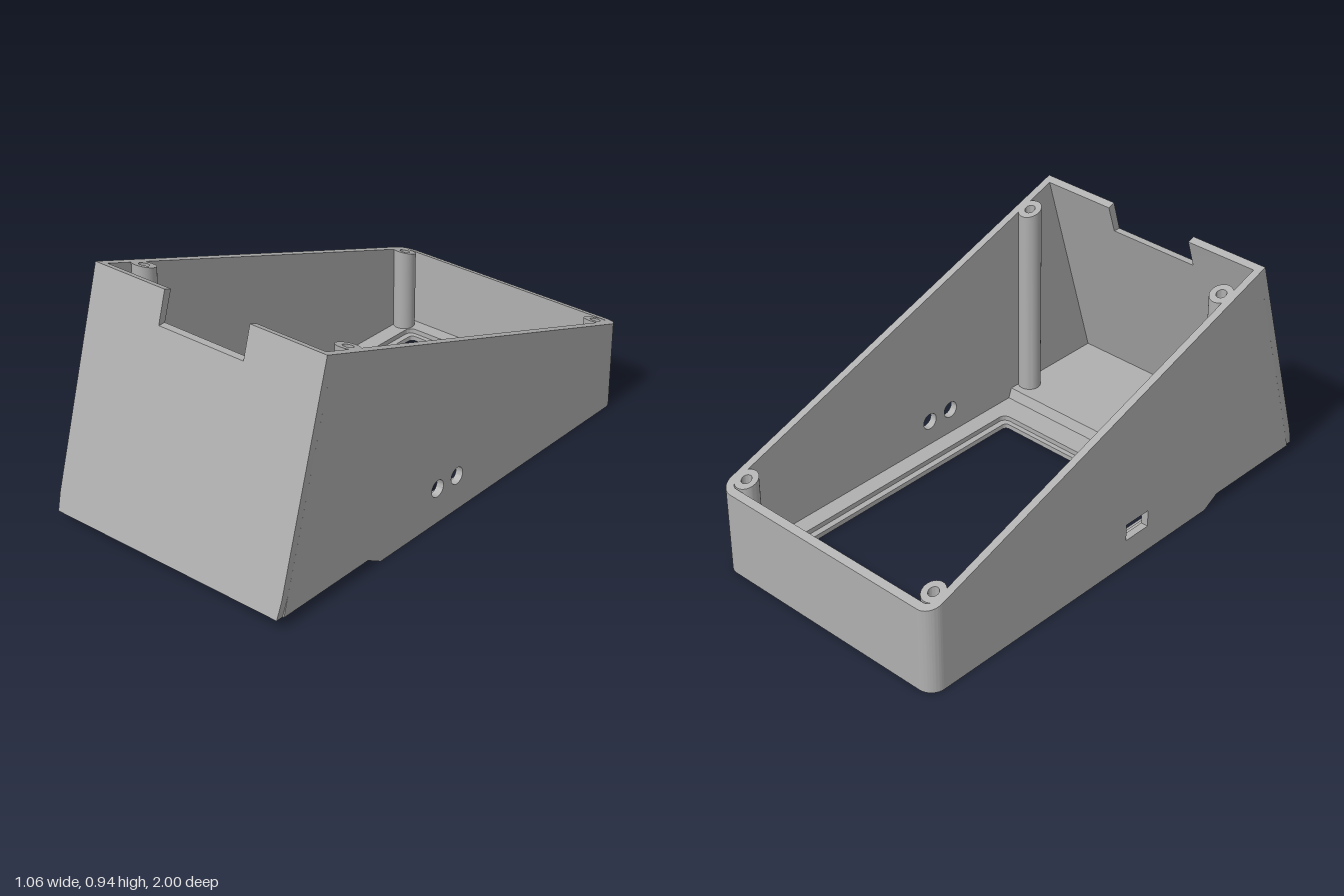
import * as THREE from 'three';
import { toCreasedNormals } from 'three/addons/utils/BufferGeometryUtils.js';

const HALF = 0.53, WALL = 0.03;
const topY = (z) => 0.35 + 0.339 * (z + 1);          // sloping rim plane
const frontZ = (y) => 1 - 0.26 * (y - 0.04) / 0.9;   // leaning front plane

const polygon = (pts) => new THREE.Shape(pts.map(([x, y]) => new THREE.Vector2(x, y)));

const extrude = (shape, depth) =>
  new THREE.ExtrudeGeometry(shape, { depth, bevelEnabled: false, curveSegments: 16 });

// Move every vertex of a geometry by a rule
function reshape(geo, rule) {
  const p = geo.attributes.position, v = new THREE.Vector3();
  for (let i = 0; i < p.count; i++) {
    v.fromBufferAttribute(p, i);
    rule(v);
    p.setXYZ(i, v.x, v.y, v.z);
  }
  geo.computeVertexNormals();
  return geo;
}

// Plan outline (x, z) raised from y0 by height h
const fromPlan = (shape, y0, h) =>
  extrude(shape, h).rotateX(Math.PI / 2).translate(0, y0 + h, 0);

// Plan outline raised from y0 up to the sloping rim
const toRim = (shape, y0) =>
  reshape(fromPlan(shape, 0, 1), (v) => { v.y = v.y > 0.5 ? topY(v.z) : y0; });

// Side profile (z, y) extruded across x, from xMax inwards
const fromSide = (shape, xMax, width) =>
  extrude(shape, width).rotateY(-Math.PI / 2).translate(xMax, 0, 0);

function roundedRect(path, x, z0, z1, r) {
  path.moveTo(x, z0 + r);
  path.absarc(x - r, z1 - r, r, 0, Math.PI / 2, false);
  path.absarc(-x + r, z1 - r, r, Math.PI / 2, Math.PI, false);
  path.absarc(-x + r, z0 + r, r, Math.PI, Math.PI * 1.5, false);
  path.absarc(x - r, z0 + r, r, Math.PI * 1.5, Math.PI * 2, false);
  return path;
}

export function createModel() {
  const group = new THREE.Group();
  const grey = new THREE.MeshStandardMaterial({ color: 0xb0b0b0 });
  grey.name = 'enclosureGrey';
  const add = (name, geo) => {
    const mesh = new THREE.Mesh(toCreasedNormals(geo, 0.5), grey);
    mesh.name = name;
    group.add(mesh);
  };

  // Side walls: two round holes on the left, a rectangular slot on the right
  const sideShape = () => polygon([
    [-0.94, 0], [0.46, 0], [0.53, 0.04], [0.97, 0.04], [0.71, topY(0.71)], [-0.94, topY(-0.94)],
  ]);
  const left = sideShape();
  for (const z of [0.14, 0.027]) {
    left.holes.push(new THREE.Path().absarc(z, 0.145, 0.034, 0, Math.PI * 2, true));
  }
  add('leftWall', fromSide(left, HALF, WALL));

  const right = sideShape();
  right.holes.push(new THREE.Path([[0, 0.11], [0, 0.18], [0.12, 0.18], [0.12, 0.11]]
    .map(([z, y]) => new THREE.Vector2(z, y))));
  add('rightWall', fromSide(right, -HALF + WALL, WALL));

  // Back wall with rounded corners
  const back = new THREE.Shape();
  back.moveTo(HALF, -0.94);
  back.absarc(0.47, -0.94, 0.06, 0, -Math.PI / 2, true);
  back.absarc(-0.47, -0.94, 0.06, -Math.PI / 2, -Math.PI, true);
  back.lineTo(-HALF + WALL, -0.94);
  back.absarc(-0.47, -0.94, 0.03, Math.PI, Math.PI * 1.5, false);
  back.absarc(0.47, -0.94, 0.03, -Math.PI / 2, 0, false);
  add('backWall', toRim(back, 0));

  // Leaning front wall with a notch in its top edge
  const front = polygon([
    [-0.524, 0.04], [0.524, 0.04], [HALF, 0.11], [HALF, 0.94], [0.195, 0.94], [0.195, 0.815],
    [-0.195, 0.815], [-0.195, 0.94], [-HALF, 0.94], [-HALF, 0.11],
  ]);
  add('frontWall', reshape(extrude(front, WALL), (v) => {
    v.z += frontZ(v.y) - WALL;
    v.y = Math.min(v.y, topY(v.z));
  }));

  // Floor frame: two layers whose openings form a stepped ledge
  const floorLayer = (x, z0, z1, r) => {
    const s = polygon([[-0.5, -0.97], [0.5, -0.97], [0.5, 0.42], [-0.5, 0.42]]);
    s.holes.push(roundedRect(new THREE.Path(), x, z0, z1, r));
    return s;
  };
  add('floorLip', fromPlan(floorLayer(0.405, -0.89, 0.355, 0.02), 0, 0.02));
  add('floorLedge', fromPlan(floorLayer(0.43, -0.91, 0.375, 0.03), 0.02, 0.02));

  // Raised floor towards the front
  add('frontFloor', fromSide(polygon([
    [0.42, 0], [0.46, 0], [0.53, 0.04], [0.975, 0.04], [0.963, 0.08],
    [0.49, 0.08], [0.475, 0.04], [0.42, 0.04],
  ]), 0.5, 1));

  // Hollow screw posts in the corners, cut flush with the rim
  for (const side of [-1, 1]) {
    for (const [name, z, y0] of [['backPost', -0.92, 0.03], ['frontPost', 0.565, 0.07]]) {
      const ring = new THREE.Shape().absarc(side * 0.47, z, 0.045, 0, Math.PI * 2, false);
      ring.holes.push(new THREE.Path().absarc(side * 0.47, z, 0.02, 0, Math.PI * 2, true));
      add((side > 0 ? 'left ' : 'right ') + name, toRim(ring, y0));
    }
  }

  return group;
}
